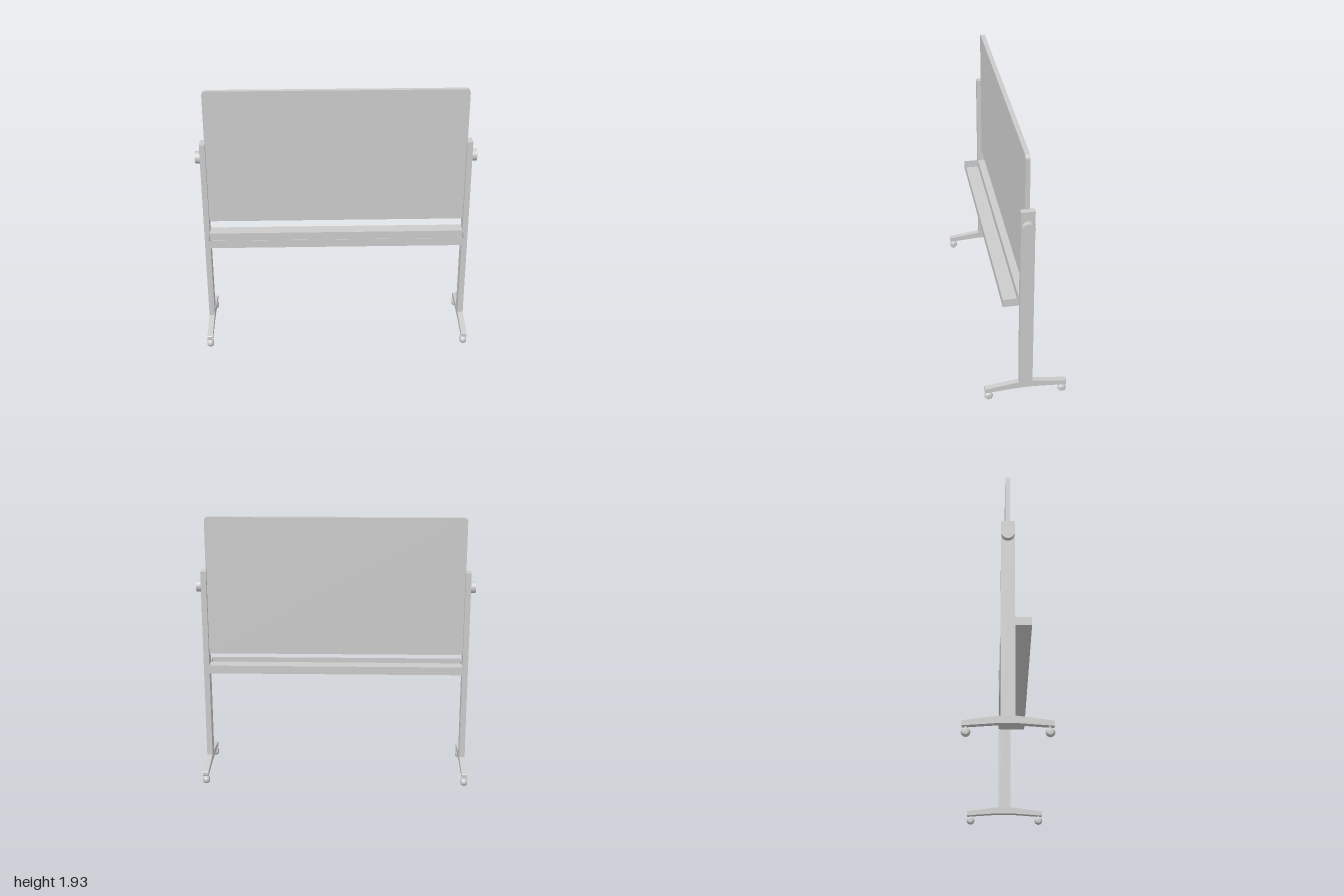
import * as THREE from 'three';

const grey = new THREE.MeshStandardMaterial({ color: 0xcccccc });
const greyThin = new THREE.MeshStandardMaterial({ color: 0xcccccc, side: THREE.DoubleSide });

const POST_X = 0.945, POST_W = 0.04, POST_D = 0.094;
const INNER = POST_X - POST_W / 2;

function add(parent, name, geometry, x = 0, y = 0, z = 0, material = grey) {
  const mesh = new THREE.Mesh(geometry, material);
  mesh.name = name;
  mesh.position.set(x, y, z);
  parent.add(mesh);
  return mesh;
}

// Flat panel with rounded corners
function boardGeometry(w, h, d, r) {
  const s = new THREE.Shape();
  const x = w / 2, y = h / 2;
  s.moveTo(-x + r, -y);
  s.lineTo(x - r, -y);
  s.absarc(x - r, -y + r, r, -Math.PI / 2, 0);
  s.absarc(x - r, y - r, r, 0, Math.PI / 2);
  s.absarc(-x + r, y - r, r, Math.PI / 2, Math.PI);
  s.absarc(-x + r, -y + r, r, Math.PI, Math.PI * 1.5);
  return new THREE.ExtrudeGeometry(s, { depth: d, bevelEnabled: false, curveSegments: 8 }).translate(0, 0, -d / 2);
}

// Arched foot profile, drawn along z and extruded across x
function footGeometry() {
  const half = [[0.05, 0.133], [0.284, 0.101], [0.289, 0.096], [0.289, 0.07], [0.285, 0.066], [0.24, 0.07], [0.06, 0.083]];
  const mirrored = half.map(([z, y]) => [-z, y]).reverse();
  const s = new THREE.Shape([...half, ...mirrored].map(([z, y]) => new THREE.Vector2(z, y)));
  return new THREE.ExtrudeGeometry(s, { depth: POST_W, bevelEnabled: false })
    .translate(0, 0, -POST_W / 2).rotateY(-Math.PI / 2);
}

// Ball caster with flattened sides, axle along x
function casterGeometry(r, halfWidth) {
  const pts = [new THREE.Vector2(0, -halfWidth)];
  const a = Math.asin(halfWidth / r);
  for (let i = 0; i <= 12; i++) {
    const t = -a + (2 * a * i) / 12;
    pts.push(new THREE.Vector2(r * Math.cos(t), r * Math.sin(t)));
  }
  pts.push(new THREE.Vector2(0, halfWidth));
  return new THREE.LatheGeometry(pts, 28).rotateZ(Math.PI / 2);
}

export function createModel() {
  const model = new THREE.Group();
  model.name = 'mobileWhiteboard';

  add(model, 'board', boardGeometry(1.86, 1.01, 0.032, 0.03), 0, 1.43, 0);

  // Crossbar joining the two posts
  add(model, 'crossbar', new THREE.BoxGeometry(INNER * 2, 0.06, POST_D), 0, 0.81, 0);

  // Open tray of thin sheet in front of the crossbar
  const tray = new THREE.Group();
  tray.name = 'tray';
  model.add(tray);
  const z0 = POST_D / 2, z1 = 0.157, depth = z1 - z0, zMid = (z0 + z1) / 2;
  add(tray, 'trayFloor', new THREE.PlaneGeometry(INNER * 2, depth).rotateX(-Math.PI / 2), 0, 0.78, zMid, greyThin);
  add(tray, 'trayLip', new THREE.PlaneGeometry(INNER * 2, 0.06), 0, 0.81, z1, greyThin);

  for (const side of [1, -1]) {
    add(tray, 'trayEnd', new THREE.PlaneGeometry(depth, 0.06).rotateY(side * Math.PI / 2), side * INNER, 0.81, zMid, greyThin);

    // Post, pivot knob, foot and casters on each side
    const stand = new THREE.Group();
    stand.name = side > 0 ? 'leftStand' : 'rightStand';
    stand.position.x = side * POST_X;
    model.add(stand);
    add(stand, 'post', new THREE.BoxGeometry(POST_W, 1.435, POST_D), 0, 0.8275, 0);
    add(stand, 'knob', new THREE.CylinderGeometry(0.043, 0.043, 0.035, 32).rotateZ(Math.PI / 2), side * 0.0375, 1.433, 0);
    add(stand, 'foot', footGeometry());
    for (const end of [1, -1]) {
      add(stand, 'caster', casterGeometry(0.03, 0.0225), 0, 0.03, end * 0.262);
      add(stand, 'casterStem', new THREE.CylinderGeometry(0.008, 0.008, 0.03, 12), 0, 0.065, end * 0.262);
    }
  }
  return model;
}
